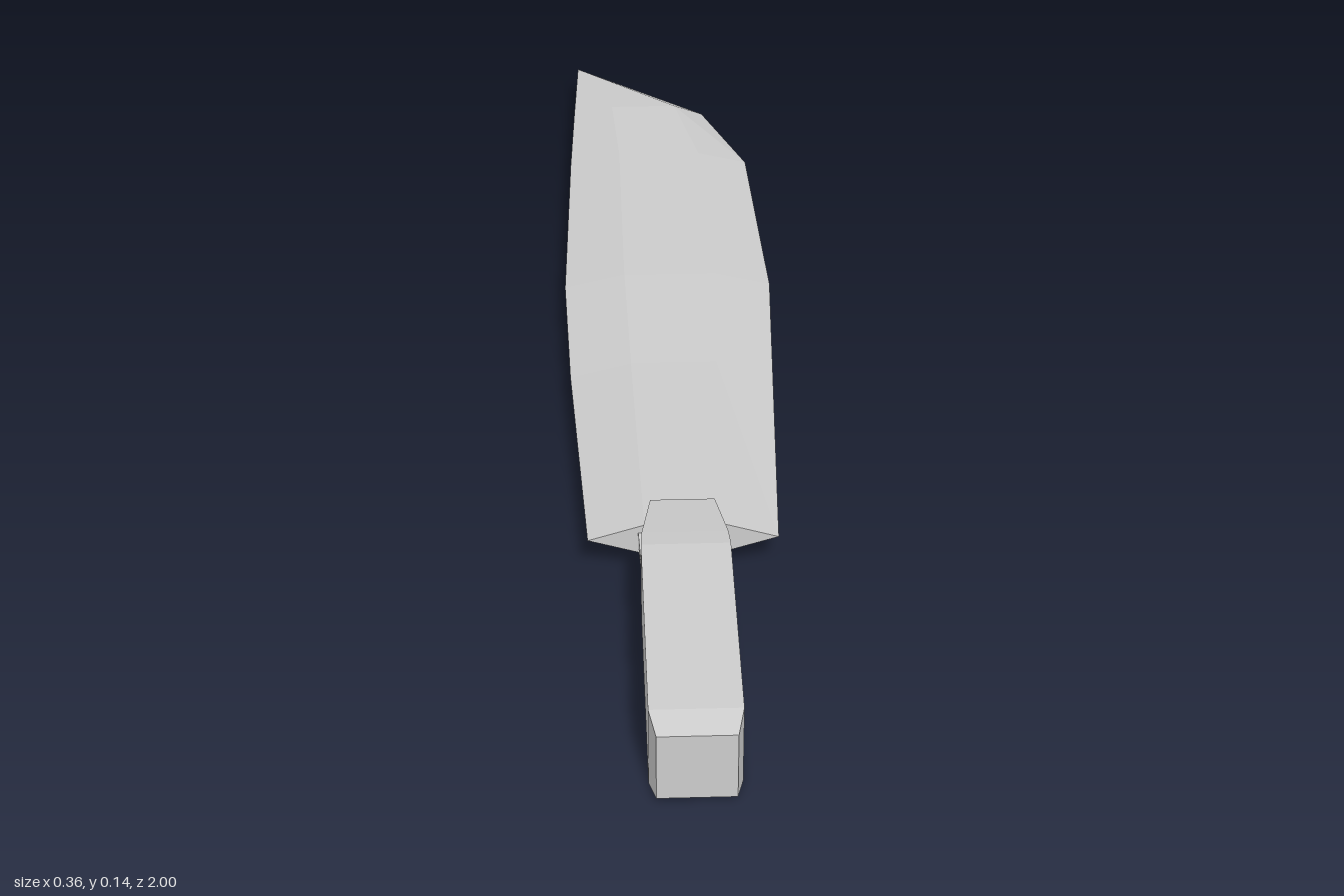
import * as THREE from 'three';

// Skins rings of [x, y, z] points, anticlockwise seen from +z, ordered front to back
function loft(rings, material, name) {
  const n = rings[0].length;
  const pos = [];
  const tri = (a, b, c) => pos.push(...a, ...b, ...c);
  for (let r = 0; r < rings.length - 1; r++) {
    for (let k = 0; k < n; k++) {
      const j = (k + 1) % n, f = rings[r], b = rings[r + 1];
      tri(f[k], b[k], b[j]);
      tri(f[k], b[j], f[j]);
    }
  }
  const first = rings[0], last = rings[rings.length - 1];
  for (let k = 1; k < n - 1; k++) {
    tri(first[0], first[k], first[k + 1]);
    tri(last[0], last[k + 1], last[k]);
  }
  const geometry = new THREE.BufferGeometry();
  geometry.setAttribute('position', new THREE.Float32BufferAttribute(pos, 3));
  geometry.computeVertexNormals();
  const mesh = new THREE.Mesh(geometry, material);
  mesh.name = name;
  return mesh;
}

const MID = 0.069; // height of the centre plane

// Rectangular section
const rect = (z, w, h) => [
  [-w, MID - h, z], [w, MID - h, z], [w, MID + h, z], [-w, MID + h, z],
];

// Six-sided section: sharp edges left and right, flat between the two ridges
const bladeSection = ([z, xl, rl, rr, xr, h]) => [
  [xl, MID, z], [rl, MID - h, z], [rr, MID - h, z],
  [xr, MID, z], [rr, MID + h, z], [rl, MID + h, z],
];

export function createModel() {
  const group = new THREE.Group();
  group.name = 'machete';
  const steel = new THREE.MeshStandardMaterial({ color: 0xcccccc, flatShading: true });
  steel.name = 'plain grey';

  // Handle: bevelled butt, straight grip, tapered collar
  group.add(loft([
    rect(1, 0.058, 0.058),
    rect(0.955, 0.068, 0.069),
    rect(0.58, 0.068, 0.069),
    rect(0.545, 0.066, 0.064),
    rect(0.44, 0.05, 0.046),
  ], steel, 'handle'));

  // Tang: short tapered shoulder entering the handle
  group.add(loft([
    rect(0.55, 0.067, 0.008),
    rect(0.47, 0.07, 0.014),
  ], steel, 'tang'));

  // Blade: z, left edge, left ridge, right ridge, right edge, half thickness
  group.add(loft([
    [0.48, -0.148, -0.06, 0.06, 0.148, 0.028],
    [0.04, -0.171, -0.07, 0.072, 0.166, 0.026],
    [-0.23, -0.178, -0.075, 0.078, 0.177, 0.025],
    [-0.64, -0.165, -0.075, 0.07, 0.157, 0.022],
    [-0.82, -0.157, -0.085, 0.032, 0.084, 0.019],
    [-1, -0.148, -0.148, -0.148, -0.148, 0],
  ].map(bladeSection), steel, 'blade'));

  return group;
}
